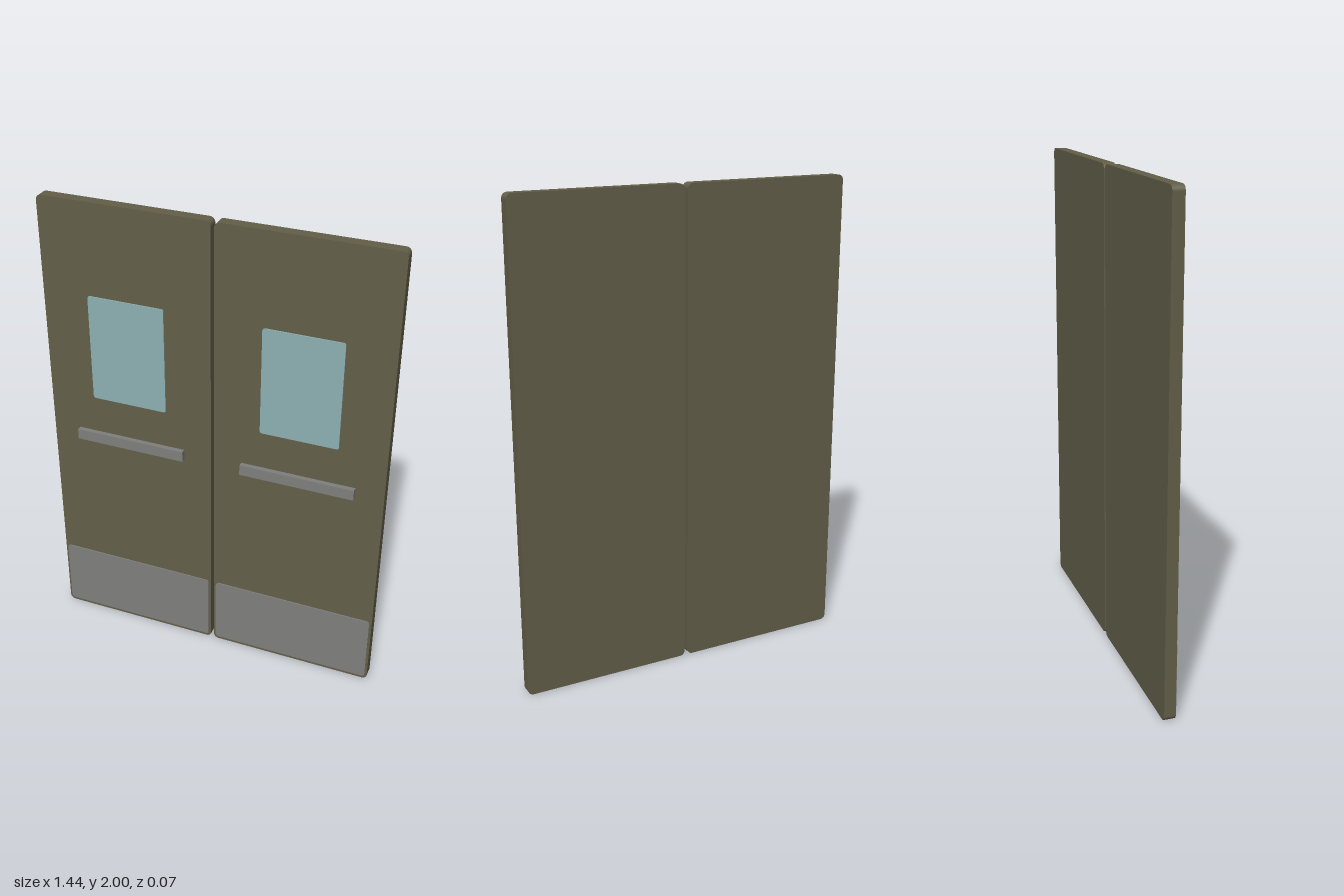
import * as THREE from 'three';

const paint = new THREE.MeshStandardMaterial({ name: 'olive paint', color: 0x635f49 });
const glass = new THREE.MeshStandardMaterial({ name: 'pale glass', color: 0x8eb0b3 });
const steel = new THREE.MeshStandardMaterial({ name: 'grey steel', color: 0x7f7f7e });

// Flat panel in the xy plane with rounded corners, between z0 and z1
function panel(name, x0, x1, y0, y1, z0, z1, r, material) {
  const s = new THREE.Shape();
  s.moveTo(x0 + r, y0);
  s.lineTo(x1 - r, y0);
  s.absarc(x1 - r, y0 + r, r, -Math.PI / 2, 0);
  s.lineTo(x1, y1 - r);
  s.absarc(x1 - r, y1 - r, r, 0, Math.PI / 2);
  s.lineTo(x0 + r, y1);
  s.absarc(x0 + r, y1 - r, r, Math.PI / 2, Math.PI);
  s.lineTo(x0, y0 + r);
  s.absarc(x0 + r, y0 + r, r, Math.PI, Math.PI * 1.5);
  const g = new THREE.ExtrudeGeometry(s, { depth: z1 - z0, bevelEnabled: false, curveSegments: 4 });
  g.translate(0, 0, z0);
  const mesh = new THREE.Mesh(g, material);
  mesh.name = name;
  return mesh;
}

// One leaf centred on x = 0; side is +1 for the left leaf, -1 for the right
function doorLeaf(side) {
  const leaf = new THREE.Group();
  leaf.name = side > 0 ? 'leftDoor' : 'rightDoor';
  leaf.add(panel('doorSlab', -0.357, 0.357, 0, 2, -0.034, 0.013, 0.022, paint));
  leaf.add(panel('window', -0.162, 0.162, 1.15, 1.612, 0.012, 0.018, 0.01, glass));
  leaf.add(panel('kickPlate', -0.347, 0.347, 0.015, 0.325, 0.012, 0.018, 0.014, steel));

  // Horizontal push bar
  const bar = new THREE.Mesh(new THREE.BoxGeometry(0.478, 0.046, 0.022), steel);
  bar.name = 'pushBar';
  bar.position.set(0, 0.963, 0.023);
  leaf.add(bar);

  leaf.position.x = side * 0.364;
  return leaf;
}

export function createModel() {
  const model = new THREE.Group();
  model.name = 'doubleDoor';
  for (const side of [-1, 1]) model.add(doorLeaf(side));
  return model;
}
